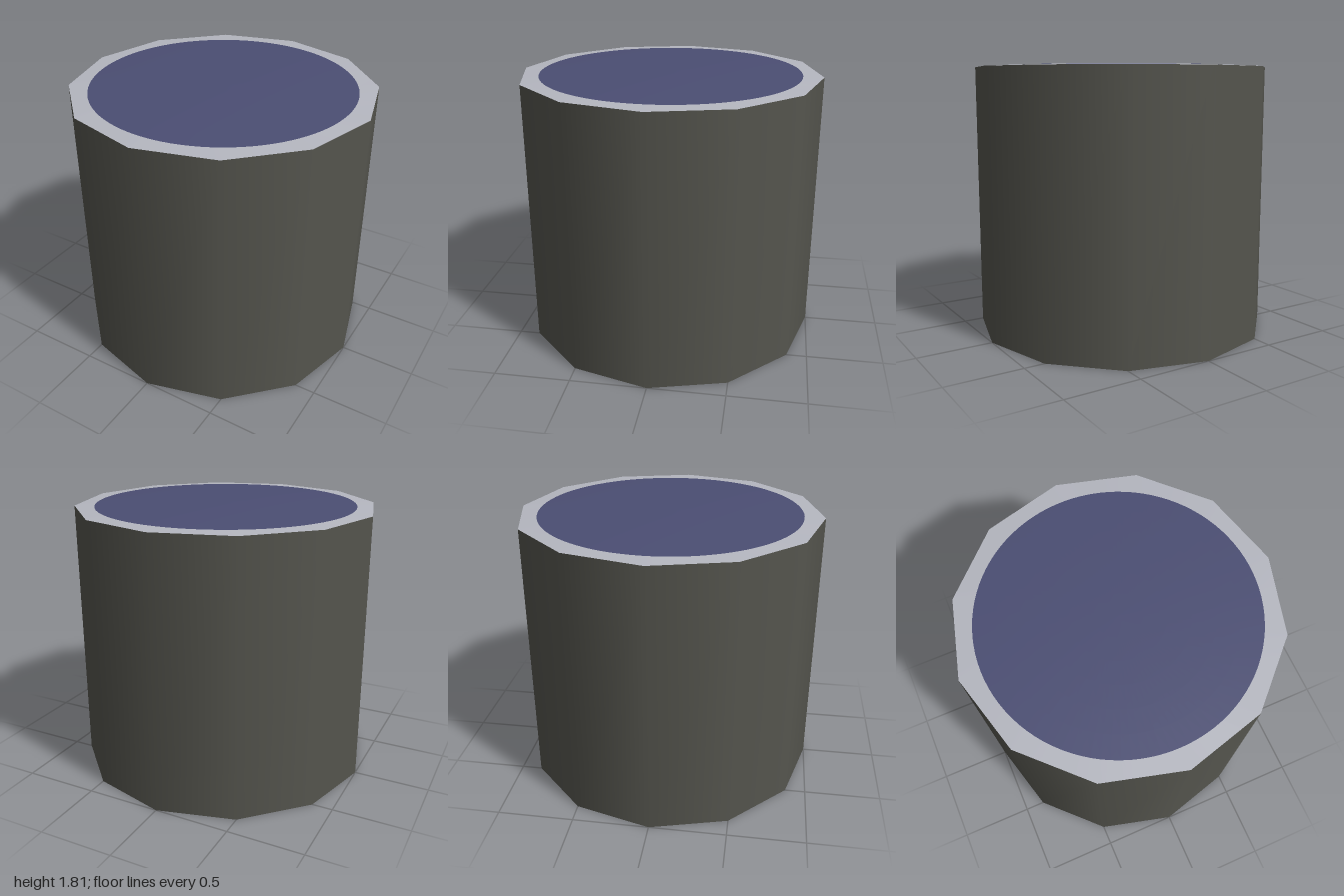
import * as THREE from 'three';

const SIDES = 12, SEGMENTS = 96, RIM_Y = 1.785, RISE = 0.025, DISC_R = 0.865;

// Height of the gently domed lid at a given radius
const lidY = (r) => RIM_Y + RISE * (1 - r * r);

// Distance from the axis to the edge of the twelve-sided outline
function outlineRadius(a) {
  const step = (Math.PI * 2) / SIDES;
  const local = (a % step) - step / 2;
  return Math.cos(step / 2) / Math.cos(local);
}

// Ring that joins the round disc to the twelve-sided wall
function makeRim() {
  const positions = [], index = [];
  for (let i = 0; i <= SEGMENTS; i++) {
    const a = (i / SEGMENTS) * Math.PI * 2;
    const outer = outlineRadius(a);
    positions.push(Math.sin(a) * DISC_R, lidY(DISC_R), Math.cos(a) * DISC_R);
    positions.push(Math.sin(a) * outer, RIM_Y, Math.cos(a) * outer);
    if (i < SEGMENTS) {
      const k = i * 2;
      index.push(k, k + 1, k + 3, k, k + 3, k + 2);
    }
  }
  const geometry = new THREE.BufferGeometry();
  geometry.setAttribute('position', new THREE.Float32BufferAttribute(positions, 3));
  geometry.setIndex(index);
  geometry.computeVertexNormals();
  return geometry;
}

export function createModel() {
  const wallGrey = new THREE.MeshStandardMaterial({ color: 0x55554e, side: THREE.DoubleSide });
  wallGrey.name = 'dark warm grey';
  const rimGrey = new THREE.MeshStandardMaterial({ color: 0xb5b7c0, side: THREE.DoubleSide });
  rimGrey.name = 'pale grey';
  const discBlue = new THREE.MeshStandardMaterial({ color: 0x4b4e73, side: THREE.DoubleSide });
  discBlue.name = 'slate blue';

  const model = new THREE.Group();
  model.name = 'drum';
  const add = (name, geometry, material) => {
    const mesh = new THREE.Mesh(geometry, material);
    mesh.name = name;
    model.add(mesh);
    return mesh;
  };

  // Open-bottomed wall, smooth shaded
  const wall = new THREE.CylinderGeometry(1, 1, RIM_Y, SIDES, 1, true);
  add('wall', wall.translate(0, RIM_Y / 2, 0), wallGrey);

  add('rim', makeRim(), rimGrey);

  // Domed round disc in the middle of the lid, profiled from edge to centre
  const profile = [];
  for (let i = 0; i <= 6; i++) {
    const r = DISC_R * (1 - i / 6);
    profile.push(new THREE.Vector2(r, lidY(r)));
  }
  add('lidDisc', new THREE.LatheGeometry(profile, SEGMENTS), discBlue);

  return model;
}
